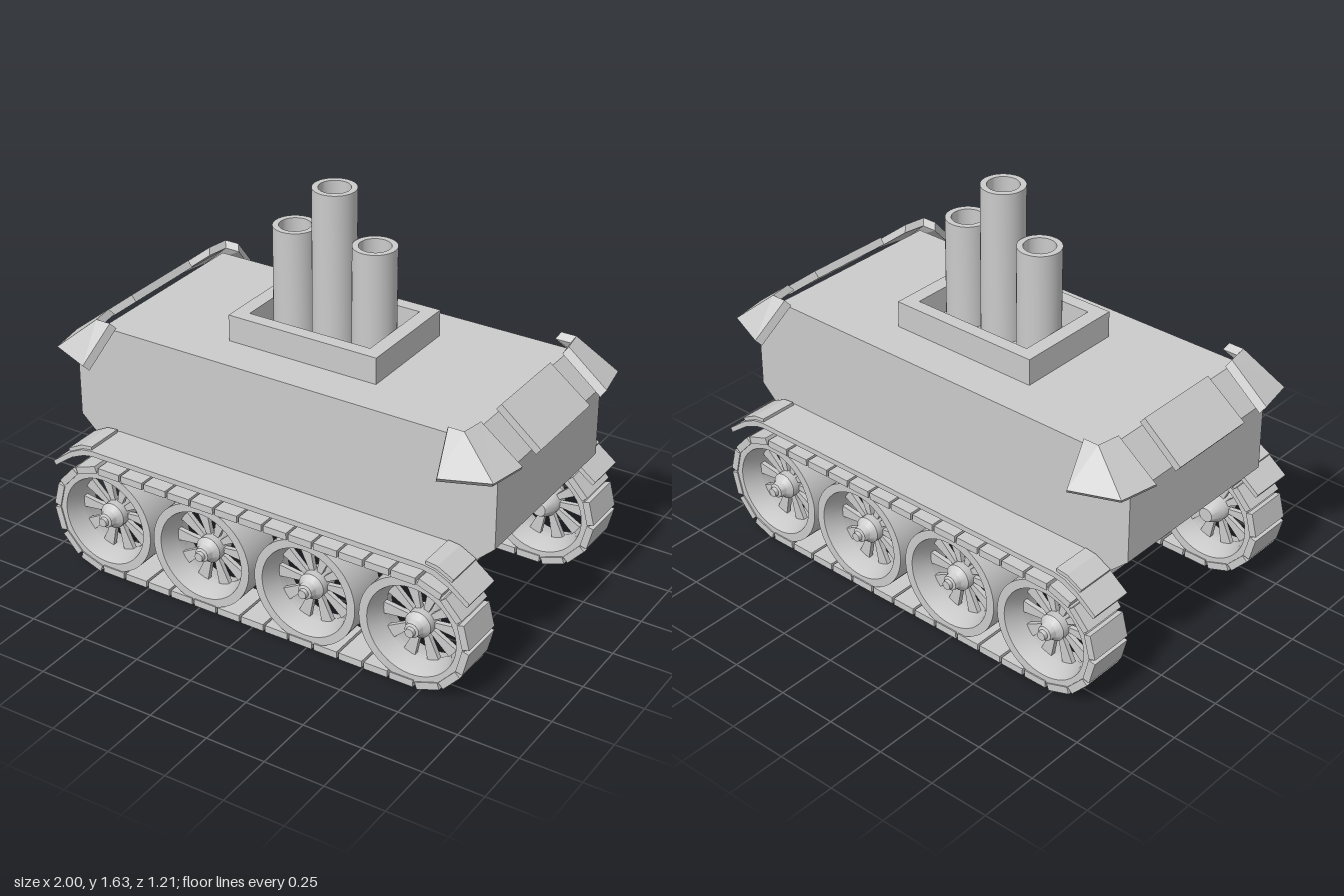
import * as THREE from 'three';
import { toCreasedNormals } from 'three/addons/utils/BufferGeometryUtils.js';

const grey = new THREE.MeshStandardMaterial({ color: 0xcccccc });
const TRACK_Z = 0.5;

function add(parent, geometry, name, x = 0, y = 0, z = 0) {
  const mesh = new THREE.Mesh(geometry, grey);
  mesh.name = name;
  mesh.position.set(x, y, z);
  parent.add(mesh);
  return mesh;
}

// Side profile (x, y) extruded to a given depth, centred on z
function extrude(points, depth, holes = []) {
  const shape = new THREE.Shape(points.map(p => new THREE.Vector2(...p)));
  for (const h of holes) shape.holes.push(new THREE.Path(h.map(p => new THREE.Vector2(...p))));
  return new THREE.ExtrudeGeometry(shape, { depth, bevelEnabled: false }).translate(0, 0, -depth / 2);
}

// Right half of a profile, completed by its mirror image
const mirrored = pts => [...pts, ...pts.map(([x, y]) => [-x, y]).reverse()];

const rect = (a, b) => [[-a, -b], [a, -b], [a, b], [-a, b]];

function lathe(points, segments = 40) {
  const g = new THREE.LatheGeometry(points.map(p => new THREE.Vector2(...p)), segments);
  return toCreasedNormals(g, 0.6);
}

// Thick plate from stations of [topOuter, bottomOuter], with an inner face offset
// towards the hull; sx and sz mirror it
function plate(stations, offset, sx, sz) {
  const rings = stations.map(([top, bottom]) => {
    const inner = p => p.map((v, i) => v + offset[i]);
    return [top, bottom, inner(bottom), inner(top)].map(([x, y, z]) => [x * sx, y, z * sz]);
  });
  const pos = [];
  const quad = (a, b, c, d) => {
    const q = sx * sz > 0 ? [a, b, c, a, c, d] : [a, c, b, a, d, c];
    q.forEach(p => pos.push(...p));
  };
  for (let i = 0; i + 1 < rings.length; i++) {
    for (let j = 0; j < 4; j++) {
      const k = (j + 1) % 4;
      quad(rings[i][j], rings[i + 1][j], rings[i + 1][k], rings[i][k]);
    }
  }
  quad(...rings[0]);
  quad(...[...rings[rings.length - 1]].reverse());
  const g = new THREE.BufferGeometry();
  g.setAttribute('position', new THREE.Float32BufferAttribute(pos, 3));
  // Make the faces point outwards, whichever way the stations run
  const [a, b, c] = [0, 3, 6].map(i => new THREE.Vector3(...pos.slice(i, i + 3)));
  const normal = b.clone().sub(a).cross(c.clone().sub(a));
  if (normal.y < 0) {
    for (let i = 0; i < pos.length; i += 9) {
      for (let j = 0; j < 3; j++) [pos[i + 3 + j], pos[i + 6 + j]] = [pos[i + 6 + j], pos[i + 3 + j]];
    }
    g.setAttribute('position', new THREE.Float32BufferAttribute(pos, 3));
  }
  g.computeVertexNormals();
  return g;
}

// Spoked road wheel, axle along z
const rimGeo = lathe([[0.225, -0.09], [0.225, 0.09], [0.19, 0.09], [0.165, 0.01],
  [0.165, -0.01], [0.19, -0.09], [0.225, -0.09]], 48).rotateX(Math.PI / 2);
const hubGeo = lathe([[0, -0.09], [0.03, -0.09], [0.055, -0.04], [0.055, 0.04], [0.035, 0.06],
  [0.03, 0.085], [0.02, 0.09], [0.018, 0.105], [0, 0.105]], 24).rotateX(Math.PI / 2);
const spokeGeo = extrude([[0.045, -0.01], [0.17, -0.026], [0.17, 0.026], [0.045, 0.01]], 0.02);

function wheel(side) {
  const g = new THREE.Group();
  g.name = 'roadWheel';
  add(g, rimGeo, 'wheelRim');
  add(g, hubGeo, 'wheelHub');
  for (let i = 0; i < 10; i++) add(g, spokeGeo, 'spoke').rotation.z = i * Math.PI / 5;
  if (side < 0) g.rotation.y = Math.PI;
  return g;
}

// Point and heading on the oval track path at distance s from the front-most point
function trackPoint(s, half, r, cy) {
  const arc = Math.PI * r, straight = 2 * half, total = 2 * (arc + straight);
  s = (s + arc / 2) % total;
  const flip = s >= arc + straight ? -1 : 1;
  s %= arc + straight;
  let x, y, angle;
  if (s < arc) {
    angle = s / r - Math.PI / 2;
    x = half + r * Math.cos(angle);
    y = r * Math.sin(angle);
  } else {
    angle = Math.PI / 2;
    x = half - (s - arc);
    y = r;
  }
  return { x: x * flip, y: cy + y * flip, angle: angle + Math.PI / 2 };
}

function trackUnit(side) {
  const g = new THREE.Group();
  g.name = side > 0 ? 'frontTrack' : 'backTrack';
  for (const x of [-0.705, -0.238, 0.238, 0.705]) {
    const w = wheel(side);
    w.position.set(x, 0.245, 0);
    g.add(w);
  }
  // Track links
  const half = 0.705, r = 0.226, count = 38;
  const pitch = (4 * half + 2 * Math.PI * r) / count;
  const link = new THREE.BoxGeometry(pitch - 0.01, 0.03, 0.19);
  for (let i = 0; i < count; i++) {
    const p = trackPoint((i + 0.5) * pitch, half, r, 0.245);
    add(g, link, 'trackLink', p.x, p.y, 0).rotation.z = p.angle;
  }
  // Fender with drooping ends and a raised bent plate over each bend
  add(g, extrude([...mirrored([[0.75, 0.553], [0.80, 0.545], [0.86, 0.515], [0.945, 0.45]]),
    ...mirrored([[0.935, 0.433], [0.85, 0.495], [0.79, 0.522], [0.75, 0.53]]).slice(4),
    ...mirrored([[0.935, 0.433], [0.85, 0.495], [0.79, 0.522], [0.75, 0.53]]).slice(0, 4).reverse()]
    .length ? fenderOutline() : [], 0.185), 'fender');
  for (const s of [-1, 1]) {
    add(g, extrude([[0.755, 0.55], [0.80, 0.54], [0.865, 0.51], [0.872, 0.525], [0.805, 0.56], [0.755, 0.566]]
      .map(([x, y]) => [x * s, y]), 0.165), 'fenderBendPlate');
  }
  g.position.z = side * TRACK_Z;
  return g;
}

function fenderOutline() {
  const top = mirrored([[0.945, 0.45], [0.86, 0.515], [0.80, 0.545], [0.75, 0.553]]);
  const bottom = mirrored([[0.935, 0.433], [0.85, 0.495], [0.79, 0.522], [0.75, 0.53]]);
  return [...top, ...bottom.reverse()];
}

export function createModel() {
  const model = new THREE.Group();
  model.name = 'trackedVehicle';

  // Hull
  add(model, extrude(mirrored([[0.8, 0.41], [0.8, 0.45], [0.94, 0.58], [0.94, 0.87], [0.81, 1.0]]), 0.81), 'hull');

  for (const side of [1, -1]) model.add(trackUnit(side));

  // Open frame on the roof around the funnels
  const frame = extrude(rect(0.33, 0.235), 0.11, [rect(0.27, 0.18)]).rotateX(-Math.PI / 2);
  add(model, frame, 'funnelFrame', 0, 1.055, 0);

  // Funnels
  for (const [x, top] of [[-0.178, 1.435], [0, 1.63], [0.178, 1.435]]) {
    const h = top - 1.0;
    add(model, lathe([[0.087, 0], [0.087, h], [0.063, h], [0.063, 0]]), 'funnel', x, 1.0, 0);
  }

  // Sloped guard plates at both ends and all four corners
  for (const sx of [1, -1]) {
    add(model, plate([[[0.83, 1.045, -0.19], [1.0, 0.91, -0.195]], [[0.83, 1.045, 0.19], [1.0, 0.91, 0.195]]],
      [-0.02, -0.025, 0], sx, 1), 'endGuard');
    for (const sz of [1, -1]) {
      add(model, plate([
        [[0.83, 1.045, 0.34], [1.0, 0.91, 0.335]],
        [[0.815, 1.045, 0.435], [0.97, 0.91, 0.495]],
        [[0.75, 1.045, 0.435], [0.785, 0.91, 0.57]],
      ], [-0.015, -0.025, -0.02], sx, sz), 'cornerGuard');
    }
  }
  return model;
}
